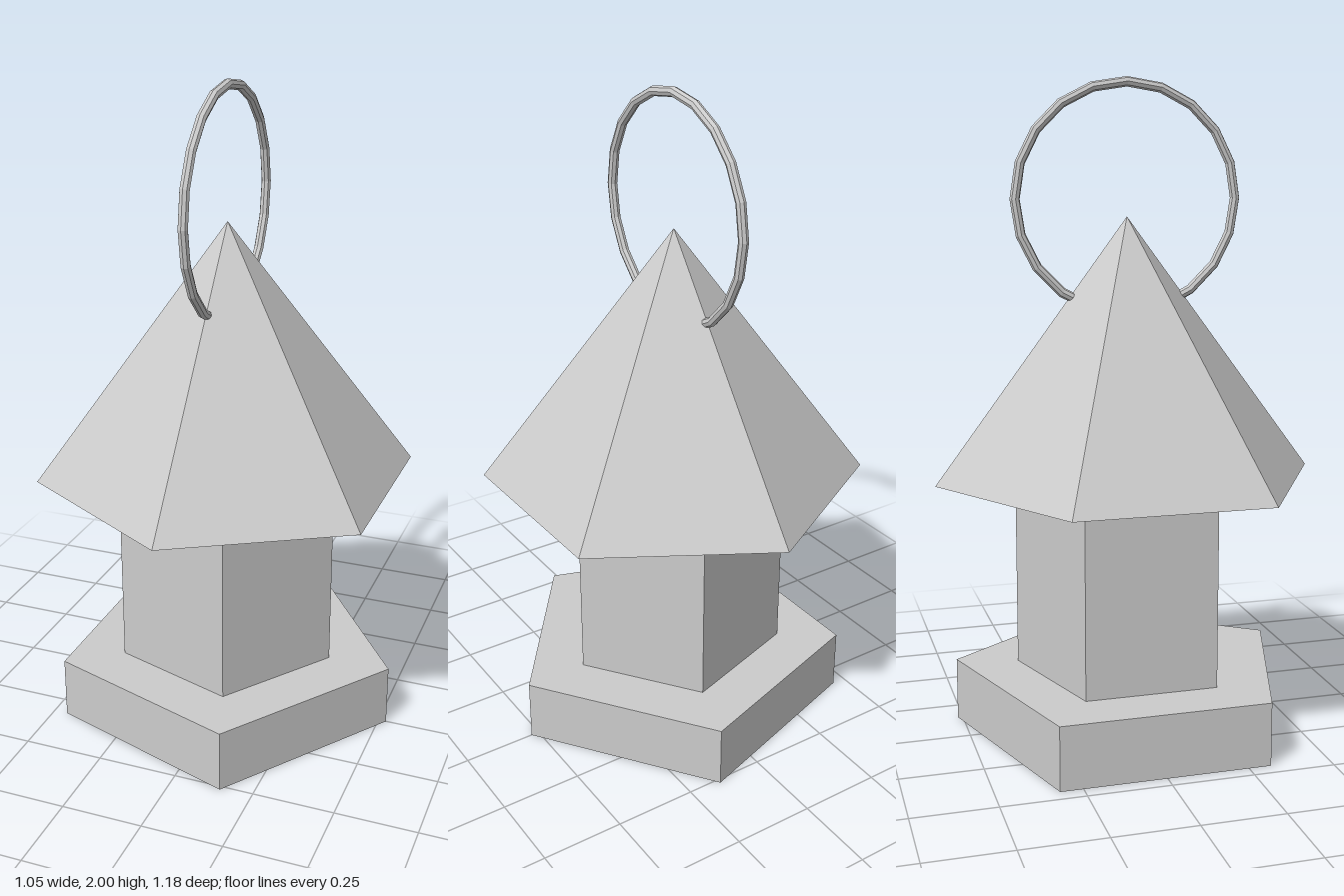
import * as THREE from 'three';

export function createModel() {
  const group = new THREE.Group();
  const material = new THREE.MeshStandardMaterial({ color: 0xcccccc, flatShading: true });
  const axisX = -0.017;

  const addPart = (name, geometry, y, turn = 0) => {
    const mesh = new THREE.Mesh(geometry, material);
    mesh.name = name;
    mesh.position.set(axisX, y, 0);
    mesh.rotation.y = turn;
    group.add(mesh);
  };

  // Prism standing between two heights
  const prism = (radius, bottom, top, sides) =>
    new THREE.CylinderGeometry(radius, radius, top - bottom, sides).translate(0, (top - bottom) / 2, 0);

  // Pentagonal base and body, one corner pointing to +x
  addPart('base', prism(0.542, 0, 0.195, 5), 0, Math.PI / 2);
  addPart('body', prism(0.346, 0.195, 0.802, 5), 0.195, Math.PI / 2);

  // Six-sided pointed roof, one corner pointing to the front
  addPart('roof', new THREE.ConeGeometry(0.592, 0.79, 6).translate(0, 0.395, 0), 0.802);

  // Hanging ring passing through the roof, in the front-to-back plane
  addPart('hangingRing', new THREE.TorusGeometry(0.34, 0.015, 8, 20), 1.645, Math.PI / 2);

  return group;
}
